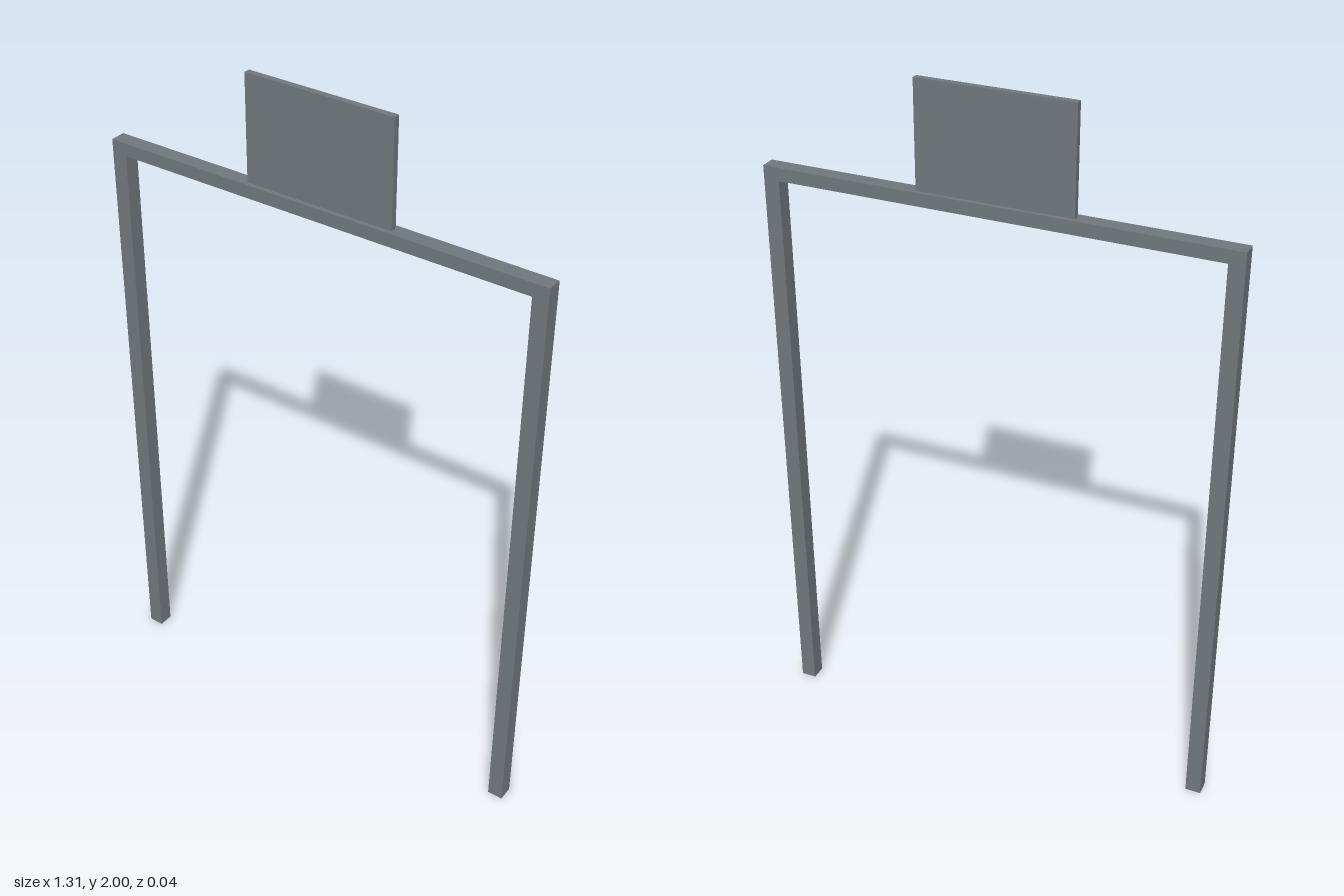
import * as THREE from 'three';

export function createModel() {
  const model = new THREE.Group();
  model.name = 'signGantry';

  const steel = new THREE.MeshStandardMaterial({ color: 0x70787d });
  steel.name = 'grey steel';

  // Box given by its size, its centre x and the height of its base
  const addBox = (name, width, height, depth, x, base) => {
    const mesh = new THREE.Mesh(new THREE.BoxGeometry(width, height, depth), steel);
    mesh.name = name;
    mesh.position.set(x, base + height / 2, 0);
    model.add(mesh);
  };

  const halfWidth = 0.656, post = 0.044, frameTop = 1.704, beam = 0.037;

  // Two upright posts
  for (const [name, side] of [['leftPost', 1], ['rightPost', -1]]) {
    addBox(name, post, frameTop, post, side * (halfWidth - post / 2), 0);
  }

  // Crossbeam between the posts, flush with their tops
  addBox('crossbeam', 2 * (halfWidth - post), beam, post, 0, frameTop - beam);

  // Thin sign panel standing on the beam
  addBox('signPanel', 0.434, 2 - frameTop, 0.018, 0, frameTop);

  return model;
}
